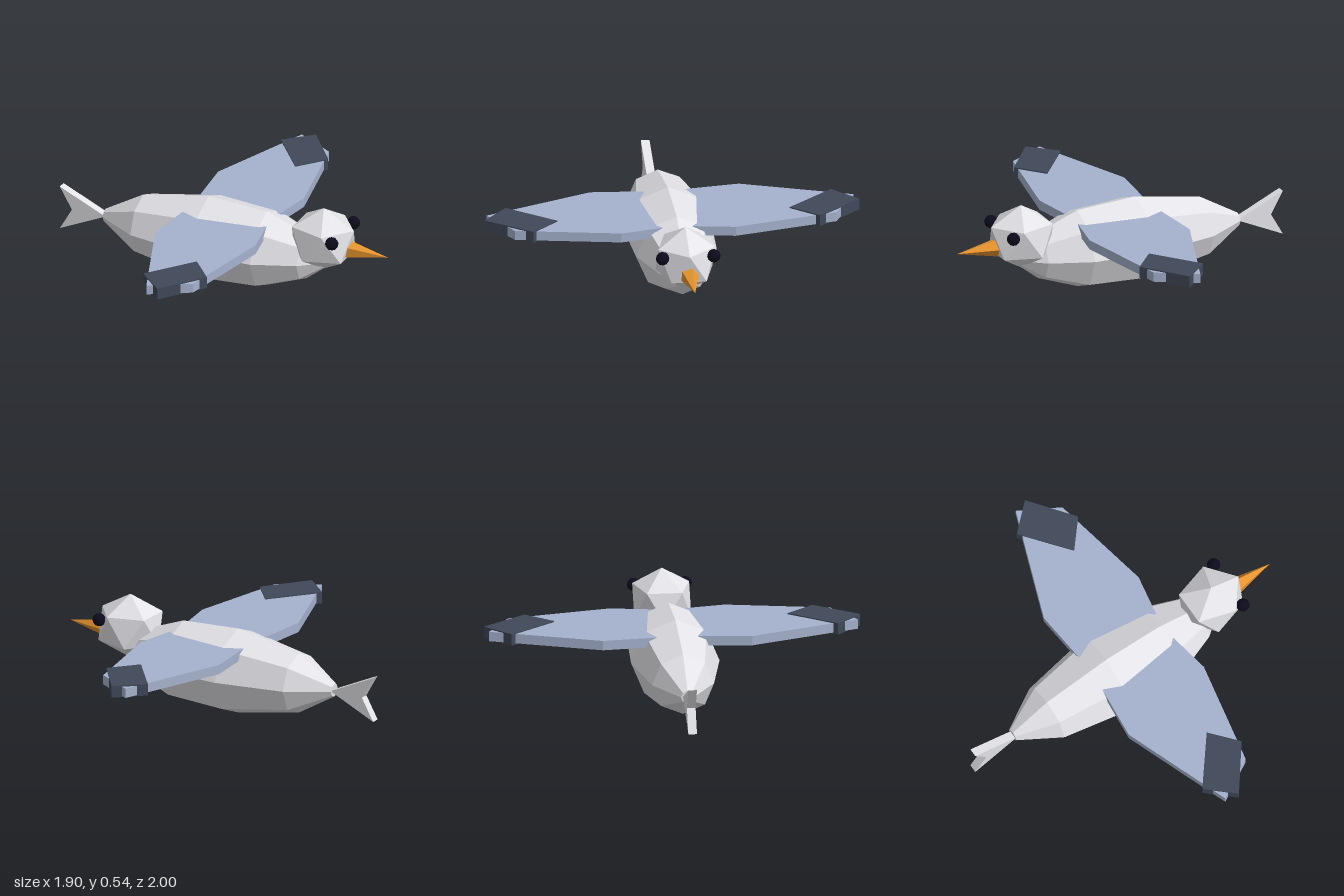
import * as THREE from 'three';

const mat = (name, color) => {
  const m = new THREE.MeshStandardMaterial({ color });
  m.name = name;
  return m;
};

// Faceted normals for the low-poly look
function flat(geometry) {
  const g = geometry.index ? geometry.toNonIndexed() : geometry;
  g.computeVertexNormals();
  return g;
}

function slab(points, depth) {
  const shape = new THREE.Shape(points.map(([x, y]) => new THREE.Vector2(x, y)));
  return new THREE.ExtrudeGeometry(shape, { depth, bevelEnabled: false })
    .translate(0, 0, -depth / 2);
}

export function createModel() {
  const bird = new THREE.Group();
  bird.name = 'bird';
  const plumage = mat('pale plumage', 0xecebf0);
  const wingBlue = mat('wing blue grey', 0xa5b2ce);
  const tipDark = mat('wing tip slate', 0x404858);
  const orange = mat('beak orange', 0xf09a30);
  const black = mat('eye black', 0x0c0a1c);

  const add = (name, geometry, material, x = 0, y = 0, z = 0) => {
    const mesh = new THREE.Mesh(flat(geometry), material);
    mesh.name = name;
    mesh.position.set(x, y, z);
    bird.add(mesh);
    return mesh;
  };

  // Body: eight-sided spindle lying along x
  const profile = [[0, -0.7], [0.035, -0.7], [0.165, -0.48], [0.235, -0.1],
    [0.217, 0.24], [0.13, 0.47], [0.035, 0.59], [0, 0.59]];
  const body = new THREE.LatheGeometry(profile.map(([r, x]) => new THREE.Vector2(r, x)), 8);
  add('body', body.rotateZ(-Math.PI / 2), plumage, 0, 0.24, 0);

  // Head: icosahedron standing on a vertex, slightly long in x
  const head = new THREE.IcosahedronGeometry(0.178, 0)
    .rotateZ(-Math.atan(2 / (1 + Math.sqrt(5)))).scale(1.1, 1, 1);
  add('head', head, plumage, 0.57, 0.367, 0);

  // Beak: five-sided cone pointing forward
  const beak = new THREE.ConeGeometry(0.055, 0.25, 5, 1, false, Math.PI).rotateZ(-Math.PI / 2);
  add('beak', beak, orange, 0.82, 0.331, 0);

  // Forked upright tail
  add('tail', slab([[-0.69, 0.24], [-0.955, 0.362], [-0.885, 0.24], [-0.955, 0.117]], 0.046), plumage);

  // Wings, dark wing tips and eyes, mirrored across z
  const wing = [[-0.19, 0], [-0.228, 0.397], [-0.01, 0.98], [0.205, 0.857], [0.315, 0.305], [0.26, 0]];
  const tip = [[0.118, 0.62], [0.243, 0.765], [0.063, 1.0], [-0.08, 0.868]];
  for (const side of [1, -1]) {
    const label = side > 0 ? 'front' : 'back';
    const flatSlab = (pts, depth) =>
      slab(pts.map(([x, z]) => [x, side * z]), depth).rotateX(Math.PI / 2);
    add(label + 'Wing', flatSlab(wing, 0.052), wingBlue, 0, 0.386, 0);
    add(label + 'WingTip', flatSlab(tip, 0.064), tipDark, 0, 0.386, 0);
    add(label + 'Eye', new THREE.IcosahedronGeometry(0.036, 1), black, 0.68, 0.42, side * 0.137);
  }
  return bird;
}
